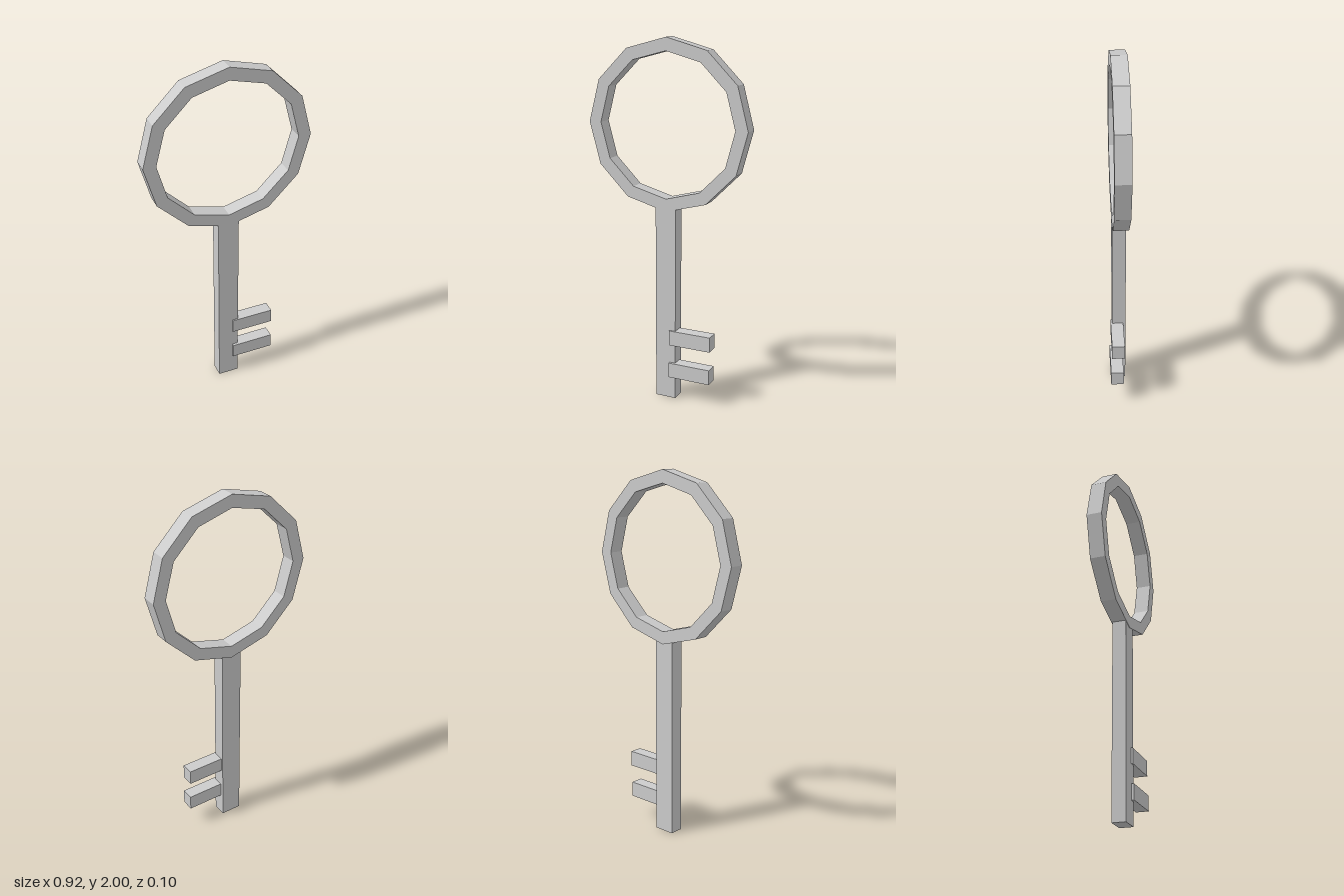
import * as THREE from 'three';

const material = new THREE.MeshStandardMaterial({ color: 0xcccccc, flatShading: true });

// Box given by its extents along each axis
function box(name, [x0, x1], [y0, y1], [z0, z1]) {
  const mesh = new THREE.Mesh(new THREE.BoxGeometry(x1 - x0, y1 - y0, z1 - z0), material);
  mesh.position.set((x0 + x1) / 2, (y0 + y1) / 2, (z0 + z1) / 2);
  mesh.name = name;
  return mesh;
}

// Corners of a regular polygon with one corner pointing up
function polygon(radius, sides) {
  return Array.from({ length: sides }, (_, i) => {
    const a = Math.PI / 2 + (i / sides) * Math.PI * 2;
    return new THREE.Vector2(Math.cos(a) * radius, Math.sin(a) * radius);
  });
}

export function createModel() {
  const key = new THREE.Group();
  key.name = 'key';

  // Twelve-sided ring handle
  const outline = new THREE.Shape(polygon(0.46, 12));
  outline.holes.push(new THREE.Path(polygon(0.39, 12)));
  const ring = new THREE.Mesh(
    new THREE.ExtrudeGeometry(outline, { depth: 0.084, bevelEnabled: false }), material);
  ring.position.set(0, 1.54, -0.05);
  ring.name = 'ringHandle';
  key.add(ring);

  // Square shaft, its top tucked into the ring
  key.add(box('shaft', [-0.062, 0.056], [0, 1.12], [-0.044, 0.032]));

  // Two teeth, standing slightly proud of the shaft front
  key.add(box('upperTooth', [0.022, 0.266], [0.318, 0.403], [-0.03, 0.041]));
  key.add(box('lowerTooth', [0.022, 0.266], [0.128, 0.213], [-0.024, 0.047]));

  return key;
}
